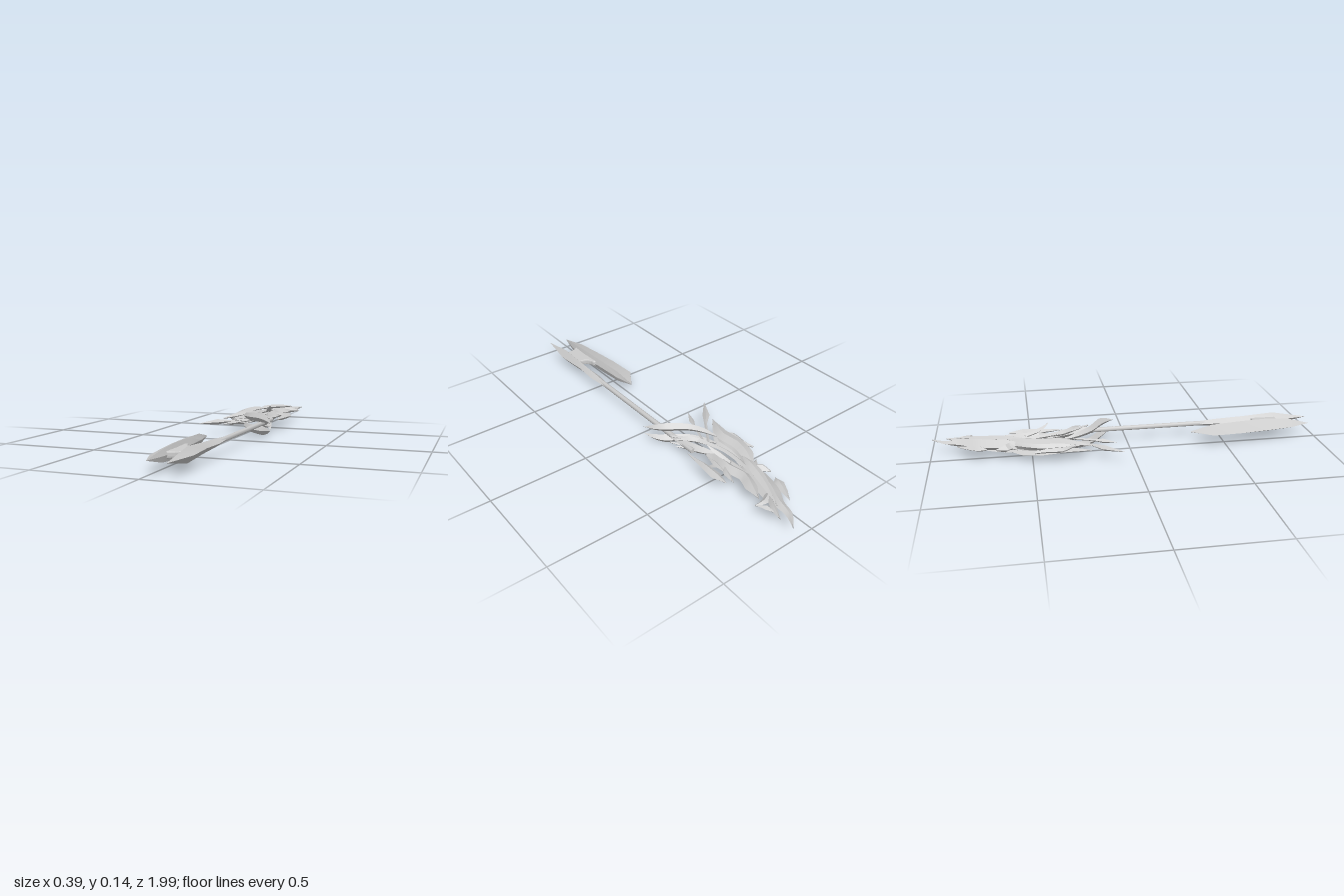
import * as THREE from 'three';
import { toCreasedNormals } from 'three/addons/utils/BufferGeometryUtils.js';

const MID = 0.068; // height of the weapon's flat plane
const steel = new THREE.MeshStandardMaterial({ color: 0xcccccc });
steel.name = 'steel';

// Lofts a diamond section along stations [x, z, halfWidth, halfHeight, yOffset].
// ridge slides the thick line between the two edges (-1..1).
function loft(stations, { ridge = 0, sub = 1, flip = 1 } = {}) {
  const curve = new THREE.CatmullRomCurve3(
    stations.map(([x, z, , , y = 0]) => new THREE.Vector3(x, MID + y * flip, z)), false, 'centripetal');
  const n = (stations.length - 1) * sub;
  const rings = [];
  for (let i = 0; i <= n; i++) {
    const k = Math.min(Math.floor(i / sub), stations.length - 2);
    const f = i / sub - k;
    const w = Math.max(THREE.MathUtils.lerp(stations[k][2], stations[k + 1][2], f), 0.0006);
    const h = Math.max(THREE.MathUtils.lerp(stations[k][3], stations[k + 1][3], f), 0.0006);
    const p = curve.getPoint(i / n);
    const t = curve.getTangent(i / n);
    const s = new THREE.Vector3(t.z, 0, -t.x).normalize();
    const at = (a, b) => p.clone().addScaledVector(s, a).add(new THREE.Vector3(0, b, 0));
    rings.push([at(w, 0), at(ridge * w, h), at(-w, 0), at(ridge * w, -h)]);
  }
  const pos = [];
  const tri = (...v) => v.forEach((q) => pos.push(q.x, q.y, q.z));
  const quad = (a, b, c, d) => { tri(a, b, c); tri(a, c, d); };
  for (let i = 0; i < n; i++) {
    for (let j = 0; j < 4; j++) {
      const m = (j + 1) % 4;
      quad(rings[i][j], rings[i][m], rings[i + 1][m], rings[i + 1][j]);
    }
  }
  const [a, b] = [rings[0], rings[n]];
  quad(a[3], a[2], a[1], a[0]);
  quad(b[0], b[1], b[2], b[3]);
  const g = new THREE.BufferGeometry();
  g.setAttribute('position', new THREE.Float32BufferAttribute(pos, 3));
  return toCreasedNormals(g, 0.45);
}

export function createModel() {
  const root = new THREE.Group();
  root.name = 'polearm';
  const add = (name, geometry) => {
    const mesh = new THREE.Mesh(geometry, steel);
    mesh.name = name;
    root.add(mesh);
    return mesh;
  };
  const single = (name, stations, opt) => add(name, loft(stations, opt));
  // Same part above and below the flat plane
  const paired = (name, stations, opt) => {
    add(name + 'Upper', loft(stations, opt));
    add(name + 'Lower', loft(stations, { ...opt, flip: -1 }));
  };

  // Shaft
  const shaft = add('shaft', new THREE.CylinderGeometry(0.013, 0.013, 0.85, 8));
  shaft.rotation.x = Math.PI / 2;
  shaft.position.set(0.113, MID, 0.085);

  // Butt end: spear point, side blade and the bridge between them
  single('buttSpear', [
    [0.113, 0.38, 0.012, 0.012], [0.113, 0.5, 0.025, 0.02], [0.113, 0.63, 0.018, 0.025],
    [0.115, 0.8, 0.029, 0.035], [0.113, 0.99, 0, 0],
  ]);
  single('buttBlade', [
    [0, 0.32, 0.001, 0.003], [-0.023, 0.43, 0.046, 0.028], [-0.014, 0.58, 0.047, 0.033],
    [0, 0.74, 0.042, 0.035], [0.008, 0.86, 0.032, 0.027], [0.017, 0.97, 0, 0],
  ], { ridge: 0.75 });
  single('buttBladeSpine', [
    [0.012, 0.5, 0.004, 0.01], [0.03, 0.63, 0.009, 0.016], [0.033, 0.82, 0.006, 0.016], [0.025, 0.9, 0, 0.004],
  ]);
  const b = new THREE.Shape();
  b.moveTo(0.02, 0.62);
  b.lineTo(0.04, 0.63);
  b.quadraticCurveTo(0.05, 0.69, 0.105, 0.68);
  b.lineTo(0.115, 0.81);
  b.quadraticCurveTo(0.06, 0.8, 0.03, 0.83);
  const bridge = add('buttBridge', new THREE.ExtrudeGeometry(b,
    { depth: 0.014, bevelThickness: 0.008, bevelSize: 0.005, bevelSegments: 2, curveSegments: 6 }));
  bridge.rotation.x = Math.PI / 2;
  bridge.position.y = MID + 0.007;

  // Neck where the shaft enters the head
  single('neck', [
    [0.113, -0.18, 0.014, 0.016], [0.108, -0.26, 0.022, 0.024], [0.085, -0.34, 0.022, 0.024], [0.045, -0.42, 0.012, 0.012],
  ], { sub: 2 });

  // Crossguards
  paired('guard', [
    [-0.035, -0.34, 0.003, 0.005, 0.02], [-0.01, -0.275, 0.013, 0.015, 0.027], [0.04, -0.205, 0.017, 0.021, 0.031],
    [0.125, -0.145, 0.02, 0.024, 0.033], [0.165, -0.105, 0.014, 0.015, 0.028], [0.195, -0.06, 0, 0, 0.019],
  ], { sub: 3 });
  paired('innerGuard', [
    [0.025, -0.4, 0.002, 0.004, 0.018], [0.045, -0.34, 0.012, 0.013, 0.022],
    [0.085, -0.285, 0.015, 0.016, 0.025], [0.142, -0.24, 0, 0, 0.02],
  ], { sub: 3 });

  // Crescent head: long arc curling to the top point
  single('crescent', [
    [0.116, -0.995, 0, 0.003], [0.068, -0.92, 0.018, 0.009], [0.055, -0.85, 0.026, 0.022],
    [0.02, -0.76, 0.043, 0.03], [0.0, -0.67, 0.042, 0.03], [-0.008, -0.59, 0.03, 0.024], [-0.015, -0.54, 0, 0.006],
  ], { sub: 3 });
  paired('crescentPlate', [
    [0.085, -0.87, 0, 0.002, 0.016], [0.045, -0.77, 0.018, 0.01, 0.026], [0.015, -0.68, 0.026, 0.011, 0.032],
    [-0.005, -0.6, 0.022, 0.01, 0.035], [-0.02, -0.53, 0, 0.002, 0.03],
  ], { sub: 2 });

  // Lower crescent plates sweeping out to the side
  paired('sideBlade', [
    [-0.01, -0.62, 0.002, 0.003, 0.03], [-0.045, -0.54, 0.032, 0.012, 0.033], [-0.066, -0.45, 0.035, 0.014, 0.03],
    [-0.06, -0.36, 0.038, 0.013, 0.026], [-0.09, -0.28, 0.02, 0.01, 0.018], [-0.12, -0.21, 0, 0.002, 0.012],
  ], { sub: 2 });
  single('sideBladeCore', [
    [-0.02, -0.58, 0.01, 0.02], [-0.062, -0.45, 0.025, 0.026], [-0.06, -0.36, 0.025, 0.024], [-0.08, -0.29, 0.004, 0.01],
  ], { sub: 2 });

  // Ribs between the crescent and the guard
  paired('rib', [
    [0.02, -0.66, 0.008, 0.008, 0.015], [0.008, -0.53, 0.012, 0.01, 0.02],
    [0.02, -0.42, 0.012, 0.01, 0.024], [0.075, -0.29, 0.014, 0.01, 0.024], [0.14, -0.2, 0.003, 0.004, 0.018],
  ], { sub: 3 });

  // Inner flame blade and its teeth
  single('innerBlade', [
    [0.1, -0.775, 0, 0.004], [0.075, -0.7, 0.03, 0.022], [0.05, -0.63, 0.03, 0.026], [0.068, -0.54, 0.032, 0.026],
    [0.06, -0.46, 0.024, 0.03], [0.078, -0.4, 0.008, 0.008],
  ], { sub: 2 });
  paired('horn', [
    [0.045, -0.53, 0.008, 0.008, 0.018], [0.06, -0.47, 0.016, 0.012, 0.034],
    [0.074, -0.435, 0.012, 0.008, 0.049], [0.086, -0.41, 0.003, 0.002, 0.066],
  ], { sub: 2 });

  // Small flat barbs around the head: [name, stations]
  [
    ['topBarb', [[0.12, -0.925, 0, 0.002], [0.1, -0.87, 0.014, 0.012], [0.06, -0.8, 0.012, 0.014]]],
    ['hookBarb', [[0.11, -0.88, 0.003, 0.004], [0.115, -0.84, 0.014, 0.012], [0.142, -0.8, 0.002, 0.003]]],
    ['shelfBarb', [[0.145, -0.8, 0.004, 0.004], [0.095, -0.805, 0.015, 0.014], [0.045, -0.78, 0.018, 0.016]]],
    ['outerHorn', [[0.003, -0.865, 0, 0.002], [-0.02, -0.81, 0.016, 0.01], [-0.04, -0.755, 0.026, 0.014], [-0.055, -0.72, 0.002, 0.004]]],
    ['outerFlare', [[-0.07, -0.675, 0.002, 0.004], [-0.055, -0.63, 0.028, 0.02], [-0.03, -0.61, 0.03, 0.02], [-0.08, -0.57, 0, 0.003]]],
    ['innerTooth', [[0.115, -0.63, 0, 0.002], [0.1, -0.57, 0.015, 0.012], [0.07, -0.51, 0.014, 0.016]]],
    ['lowerTooth', [[0.1, -0.56, 0, 0.003], [0.092, -0.48, 0.014, 0.012], [0.085, -0.4, 0, 0.003]]],
    ['sideHook', [[-0.135, -0.49, 0.004, 0.006], [-0.118, -0.43, 0.015, 0.012], [-0.12, -0.36, 0.018, 0.014], [-0.085, -0.3, 0.004, 0.006]]],
  ].forEach(([name, stations]) => single(name, stations, { sub: 2 }));

  // Floating spindle beside the head
  single('spindle', [[0.143, -0.61, 0.002, 0.003], [0.147, -0.54, 0.025, 0.016], [0.143, -0.45, 0.017, 0.014], [0.145, -0.34, 0, 0.002]]);

  // Long thin spikes trailing outward
  single('longSpike', [[0.03, -0.36, 0.006, 0.006], [-0.08, -0.205, 0.007, 0.006], [-0.13, -0.15, 0.018, 0.015], [-0.197, -0.055, 0, 0]]);
  single('shortSpike', [[0.03, -0.33, 0.006, 0.006], [-0.025, -0.18, 0.006, 0.006], [-0.04, -0.145, 0.013, 0.012], [-0.07, -0.08, 0, 0]]);

  return root;
}
